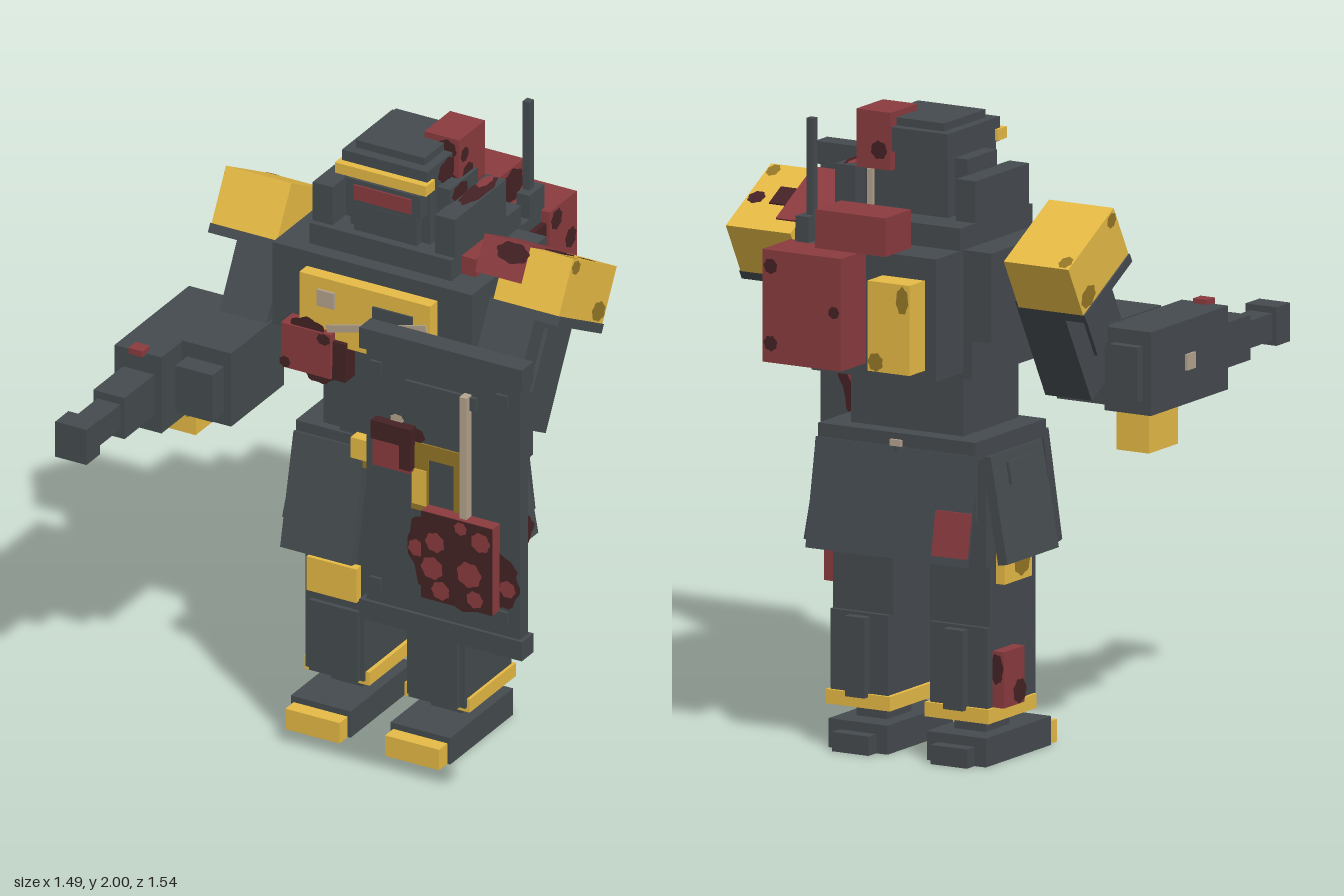
import * as THREE from 'three';

const paint = (name, color, side = THREE.FrontSide) => {
  const m = new THREE.MeshStandardMaterial({ color, side });
  m.name = name;
  return m;
};

export function createModel() {
  const root = new THREE.Group();
  root.name = 'armouredRobot';
  const steel = paint('dark steel', 0x454b4f);
  const yellow = paint('yellow', 0xe6ba45);
  const red = paint('red', 0x8b3c3f, THREE.DoubleSide);
  const darkRed = paint('dark red', 0x442224, THREE.DoubleSide);
  const ochre = paint('ochre', 0x947626, THREE.DoubleSide);
  const beige = paint('beige', 0xb5a48e);
  const midX = -0.05; // symmetry plane of the body

  // Box given by its extents, optionally tilted about its centre
  const box = (name, mat, x0, x1, y0, y1, z0, z1, rx = 0, rz = 0) => {
    const mesh = new THREE.Mesh(new THREE.BoxGeometry(x1 - x0, y1 - y0, z1 - z0), mat);
    mesh.position.set((x0 + x1) / 2, (y0 + y1) / 2, (z0 + z1) / 2);
    mesh.rotation.set(rx, 0, rz);
    mesh.name = name;
    root.add(mesh);
  };
  // The same box on the left and, mirrored, on the right
  const pair = (name, mat, x0, x1, y0, y1, z0, z1, rx = 0, rz = 0) => {
    box(name + 'Left', mat, x0, x1, y0, y1, z0, z1, rx, rz);
    box(name + 'Right', mat, 2 * midX - x1, 2 * midX - x0, y0, y1, z0, z1, rx, -rz);
  };
  const facing = {
    front: [0, 0], back: [0, Math.PI], left: [0, Math.PI / 2],
    right: [0, -Math.PI / 2], top: [-Math.PI / 2, 0],
  };
  // Flat paint patch with a lobed outline
  const patch = (mat, dir, x, y, z, rx, ry = rx, parent = root) => {
    const pts = [];
    for (let i = 0; i < 28; i++) {
      const a = (i / 28) * Math.PI * 2, k = 0.93 + 0.07 * Math.cos(7 * a + x * 20);
      pts.push(new THREE.Vector2(Math.cos(a) * rx * k, Math.sin(a) * ry * k));
    }
    const mesh = new THREE.Mesh(new THREE.ShapeGeometry(new THREE.Shape(pts)), mat);
    mesh.position.set(x, y, z);
    mesh.rotation.set(facing[dir][0], facing[dir][1], 0);
    mesh.name = 'paintPatch';
    parent.add(mesh);
  };

  // Feet and lower legs
  pair('foot', steel, 0.02, 0.23, 0, 0.09, -0.38, 0);
  pair('heel', steel, 0.06, 0.19, 0, 0.06, -0.425, -0.38);
  pair('toeCap', yellow, 0.03, 0.22, 0, 0.07, 0, 0.05);
  pair('ankle', steel, 0.07, 0.18, 0.09, 0.15, -0.3, -0.16);
  pair('ankleBand', yellow, 0.012, 0.24, 0.135, 0.18, -0.38, -0.1);
  pair('shin', steel, 0.025, 0.23, 0.15, 0.43, -0.37, -0.09);
  pair('shinPlate', steel, 0.04, 0.21, 0.15, 0.39, -0.09, -0.075);
  pair('calfFin', steel, 0.09, 0.16, 0.17, 0.42, -0.4, -0.37);
  pair('knee', steel, 0.015, 0.23, 0.43, 0.64, -0.355, -0.09);
  pair('kneePlate', yellow, 0.035, 0.21, 0.43, 0.545, -0.1, -0.06);
  pair('thigh', steel, -0.01, 0.23, 0.62, 0.98, -0.38, -0.09);

  // Hips, belt and hanging skirt plates
  box('pelvis', steel, -0.3, 0.2, 0.76, 0.98, -0.39, -0.06);
  box('belt', steel, -0.33, 0.23, 0.96, 1.02, -0.44, -0.03);
  box('buckle', yellow, -0.12, 0.03, 0.96, 1.03, -0.04, 0);
  box('buckleTip', ochre, -0.08, 0, 0.935, 0.965, -0.04, -0.002);
  box('beltStud', beige, -0.07, -0.03, 0.98, 1.0, -0.45, -0.43);
  pair('frontSkirt', steel, -0.02, 0.23, 0.62, 0.99, -0.01, 0.025, -0.22);
  pair('backSkirt', steel, -0.04, 0.23, 0.64, 0.98, -0.485, -0.45, 0.18);
  pair('sideSkirt', steel, 0.25, 0.283, 0.635, 0.97, -0.39, -0.09, 0, 0.18);
  pair('sideSkirtPanel', steel, 0.25, 0.275, 0.87, 0.94, -0.31, -0.16, 0, 0.18);
  box('skirtRedTag', red, -0.335, -0.225, 0.67, 0.81, -0.515, -0.48, 0.18);
  box('kneeRedBlock', red, 0.22, 0.265, 0.51, 0.68, -0.35, -0.16);
  patch(darkRed, 'left', 0.318, 0.685, -0.26, 0.1, 0.06);
  patch(red, 'left', 0.32, 0.67, -0.26, 0.045, 0.03);
  patch(darkRed, 'left', 0.267, 0.55, -0.18, 0.02, 0.035);
  box('hipYellowBlock', yellow, -0.36, -0.31, 0.56, 0.75, -0.32, -0.16);
  patch(ochre, 'right', -0.362, 0.62, -0.22, 0.05);
  box('shinRedBlock', red, -0.37, -0.32, 0.18, 0.355, -0.34, -0.22);
  patch(darkRed, 'right', -0.372, 0.22, -0.25, 0.04);
  patch(darkRed, 'back', -0.345, 0.3, -0.342, 0.025, 0.05);

  // Torso
  box('abdomen', steel, -0.25, 0.15, 1.02, 1.24, -0.38, -0.06);
  box('bellyPlate', steel, -0.18, 0.08, 1.02, 1.22, -0.06, -0.04);
  box('chest', steel, -0.4, 0.3, 1.34, 1.62, -0.46, -0.01);
  box('lowerChest', steel, -0.33, 0.23, 1.22, 1.35, -0.46, -0.01);
  box('chestPlate', yellow, -0.28, 0.18, 1.35, 1.57, -0.01, 0.035);
  box('chestScreen', steel, -0.02, 0.12, 1.4, 1.52, 0.035, 0.042);
  box('chestTag', beige, -0.215, -0.155, 1.475, 1.53, 0.035, 0.043);
  box('chestStripe', beige, -0.18, 0.18, 1.442, 1.466, 0.045, 0.052, 0, 0.25);
  box('chestRedBlock', red, -0.33, -0.155, 1.245, 1.395, -0.01, 0.06);
  box('chestBlockBase', darkRed, -0.29, -0.11, 1.24, 1.37, -0.01, 0.05);
  patch(darkRed, 'front', -0.24, 1.385, 0.054, 0.07, 0.05);
  patch(darkRed, 'front', -0.2, 1.26, 0.053, 0.06, 0.045);
  patch(darkRed, 'front', -0.315, 1.265, 0.062, 0.02, 0.02);
  patch(darkRed, 'front', -0.18, 1.375, 0.062, 0.025, 0.02);
  box('collar', steel, -0.3, 0.2, 1.62, 1.69, -0.48, -0.06);
  pair('collarPost', steel, 0.13, 0.2, 1.69, 1.82, -0.39, -0.08);
  patch(darkRed, 'top', 0.166, 1.822, -0.28, 0.033, 0.11);
  patch(red, 'top', 0.155, 1.824, -0.34, 0.018, 0.045);

  // Head
  box('head', steel, -0.19, 0.09, 1.69, 1.89, -0.37, -0.12);
  box('jaw', steel, -0.16, 0.06, 1.69, 1.78, -0.12, -0.09);
  pair('ear', steel, 0.09, 0.135, 1.69, 1.87, -0.33, -0.16);
  box('visorFrame', steel, -0.18, 0.08, 1.79, 1.87, -0.12, -0.075);
  box('visor', red, -0.15, 0.05, 1.805, 1.855, -0.075, -0.069);
  box('helmet', steel, -0.2, 0.1, 1.88, 1.955, -0.39, -0.085);
  box('helmetTop', steel, -0.17, 0.07, 1.955, 1.98, -0.36, -0.12);
  box('brim', yellow, -0.21, 0.11, 1.885, 1.92, -0.115, -0.06);
  box('headRedUnit', red, 0, 0.122, 1.82, 2, -0.395, -0.24);
  patch(darkRed, 'left', 0.104, 1.915, -0.2, 0.06, 0.04);
  patch(darkRed, 'left', 0.137, 1.84, -0.22, 0.05, 0.03);
  for (const [dir, x, y, z, r] of [['front', 0.08, 1.96, -0.238, 0.035], ['front', 0.1, 1.86, -0.238, 0.02],
    ['left', 0.124, 1.87, -0.29, 0.035], ['left', 0.124, 1.94, -0.27, 0.025], ['back', 0.04, 1.88, -0.397, 0.03]]) {
    patch(darkRed, dir, x, y, z, r);
  }

  // Backpack with mixed units
  box('backpack', steel, -0.3, 0.2, 1.24, 1.62, -0.62, -0.46);
  box('backpackSpine', steel, -0.1, 0.0, 1.62, 1.7, -0.52, -0.46);
  box('backRedPack', red, -0.05, 0.23, 1.27, 1.62, -0.765, -0.6);
  box('backRedTop', red, -0.15, 0.1, 1.62, 1.74, -0.67, -0.52);
  patch(darkRed, 'left', 0.102, 1.68, -0.595, 0.07, 0.058);
  box('backYellowPack', yellow, -0.26, -0.11, 1.27, 1.55, -0.71, -0.62);
  box('backLeftTag', darkRed, 0.2, 0.22, 1.3, 1.58, -0.6, -0.46);
  patch(red, 'left', 0.222, 1.47, -0.55, 0.035);
  patch(red, 'left', 0.222, 1.36, -0.52, 0.03);
  box('shoulderRedTag', red, 0.2, 0.25, 1.62, 1.68, -0.25, -0.12);
  box('backStrut', beige, 0.06, 0.08, 1.62, 1.82, -0.402, -0.39);
  box('antennaBase', steel, 0.155, 0.2, 1.6, 1.7, -0.62, -0.53);
  box('antenna', steel, 0.158, 0.182, 1.7, 2, -0.588, -0.562);
  patch(ochre, 'back', -0.14, 1.3, -0.712, 0.028, 0.03);
  patch(ochre, 'back', -0.235, 1.5, -0.712, 0.023, 0.045);
  for (const [y, z, r] of [[1.58, -0.64, 0.035], [1.48, -0.725, 0.035], [1.34, -0.65, 0.045], [1.31, -0.73, 0.033], [1.43, -0.635, 0.033]]) {
    patch(darkRed, 'left', 0.232, y, z, r);
  }
  for (const [x, y, r] of [[0.2, 1.57, 0.025], [0.2, 1.33, 0.025], [-0.025, 1.45, 0.02]]) {
    patch(darkRed, 'back', x, y, -0.767, r);
  }

  // Arms: tilted shoulder pads and upper arms, level forearms
  for (const [x, side] of [[0.445, 'Left'], [-0.545, 'Right']]) {
    const s = side === 'Left' ? 1 : -1;
    const outer = s > 0 ? 'left' : 'right';
    const arm = new THREE.Group();
    arm.name = 'upperArm' + side;
    arm.position.set(x, 1.588, -0.264);
    arm.rotation.x = -0.5;
    const part = (name, mat, w, h, d, px, py, pz = 0) => {
      const m = new THREE.Mesh(new THREE.BoxGeometry(w, h, d), mat);
      m.position.set(px, py, pz);
      m.name = name;
      arm.add(m);
    };
    part('shoulderPad', yellow, 0.23, 0.18, 0.3, 0, 0);
    part('padPlate', steel, 0.24, 0.03, 0.3, 0, -0.105);
    part('upperArmBlock', steel, 0.165, 0.37, 0.26, -s * 0.055, -0.27);
    part('upperArmPanel', steel, 0.02, 0.2, 0.1, s * 0.03, -0.24);
    part('shoulderJoint', steel, 0.12, 0.12, 0.18, -s * 0.1, -0.12);
    patch(ochre, 'top', s * 0.09, 0.0915, s * 0.12, 0.023, 0.028, arm);
    patch(ochre, outer, s * 0.117, -0.055, -0.1, 0.045, 0.033, arm);
    patch(ochre, outer, s * 0.117, 0.065, 0.12, 0.028, 0.023, arm);
    if (s > 0) {
      part('padRedBlock', red, 0.16, 0.12, 0.25, -0.115, 0.036, 0.03);
      part('padRedMark', darkRed, 0.06, 0.006, 0.08, -0.005, 0.091, 0.01);
      patch(darkRed, 'front', -0.085, 0.06, 0.157, 0.06, 0.035, arm);
      patch(darkRed, 'top', 0.08, 0.0925, -0.01, 0.03, 0.03, arm);
    }
    root.add(arm);
  }
  box('forearmLeft', steel, 0.31, 0.475, 1.09, 1.35, -0.08, 0.29);
  box('fistLeft', steel, 0.33, 0.455, 1.12, 1.33, 0.29, 0.37);
  box('shieldGrip', steel, 0.35, 0.435, 1.17, 1.28, 0.37, 0.4);
  box('forearmRight', steel, -0.575, -0.4, 1.1, 1.35, -0.08, 0.24);
  box('fistRight', steel, -0.555, -0.425, 1.14, 1.3, 0.24, 0.31);

  // Arm cannon
  box('cannonBody', steel, -0.74, -0.575, 1.085, 1.345, -0.09, 0.36);
  box('cannonRear', steel, -0.71, -0.61, 1.13, 1.3, -0.12, -0.09);
  box('cannonCollar', steel, -0.71, -0.6, 1.14, 1.28, 0.36, 0.54);
  box('cannonBarrel', steel, -0.695, -0.615, 1.17, 1.255, 0.54, 0.69);
  box('cannonMuzzle', steel, -0.71, -0.6, 1.155, 1.275, 0.69, 0.77);
  box('cannonMagazine', yellow, -0.715, -0.6, 0.96, 1.09, -0.06, 0.11);
  patch(ochre, 'front', -0.625, 1.05, 0.112, 0.025, 0.035);
  patch(ochre, 'front', -0.69, 1.065, 0.112, 0.025, 0.02);
  patch(ochre, 'left', -0.598, 1.05, 0.07, 0.04, 0.035);
  box('cannonSight', red, -0.68, -0.63, 1.34, 1.36, 0.335, 0.38);
  box('cannonStud', beige, -0.748, -0.735, 1.19, 1.24, 0.11, 0.16);

  // Shield
  box('shieldPlate', steel, 0.19, 0.73, 0.72, 1.66, 0.39, 0.438);
  box('shieldTopBar', steel, 0.172, 0.743, 1.615, 1.685, 0.38, 0.45);
  box('shieldBottomBar', steel, 0.172, 0.743, 0.69, 0.755, 0.38, 0.45);
  box('shieldSlot', steel, 0.33, 0.58, 1.5, 1.545, 0.438, 0.45);
  for (const x of [0.205, 0.65]) {
    for (const y of [0.8, 1.54]) box('shieldRivet', steel, x, x + 0.04, y, y + 0.04, 0.438, 0.448);
  }
  box('shieldRod', beige, 0.535, 0.56, 1.12, 1.55, 0.438, 0.47);
  box('emblemBar', ochre, 0.35, 0.535, 1.29, 1.34, 0.438, 0.444);
  box('emblemStem', ochre, 0.35, 0.41, 1.11, 1.3, 0.438, 0.444);
  box('emblemStemFace', yellow, 0.355, 0.405, 1.13, 1.25, 0.438, 0.447);
  box('emblemSide', ochre, 0.5, 0.535, 1.13, 1.3, 0.438, 0.444);
  box('shieldRedTag', red, 0.23, 0.36, 1.24, 1.39, 0.438, 0.47);
  box('tagShadeTop', darkRed, 0.225, 0.365, 1.33, 1.392, 0.438, 0.473);
  box('tagShadeSide', darkRed, 0.325, 0.363, 1.25, 1.35, 0.438, 0.472);
  patch(darkRed, 'front', 0.36, 1.36, 0.442, 0.04, 0.03);
  patch(beige, 'front', 0.3, 1.4, 0.442, 0.025, 0.018);
  box('shieldRedBlock', red, 0.41, 0.66, 0.84, 1.135, 0.438, 0.483);
  box('shieldBlockFace', darkRed, 0.41, 0.66, 0.84, 1.135, 0.483, 0.487);
  patch(darkRed, 'front', 0.53, 0.95, 0.442, 0.2, 0.15);
  patch(darkRed, 'front', 0.66, 0.93, 0.443, 0.075, 0.09);
  patch(darkRed, 'front', 0.41, 1.01, 0.443, 0.075, 0.1);
  for (const [x, y, r] of [[0.45, 0.95, 0.04], [0.58, 0.96, 0.045], [0.48, 0.88, 0.033], [0.62, 1.08, 0.035], [0.55, 1.11, 0.023], [0.6, 0.88, 0.03], [0.46, 1.04, 0.035]]) {
    patch(red, 'front', x, y, 0.489, r);
  }
  for (const [x, y, r] of [[0.37, 0.98, 0.03], [0.69, 0.92, 0.03]]) patch(red, 'front', x, y, 0.446, r);
  patch(darkRed, 'back', 0.52, 0.96, 0.387, 0.15, 0.16);
  patch(red, 'back', 0.53, 0.97, 0.384, 0.105, 0.1);

  return root;
}
